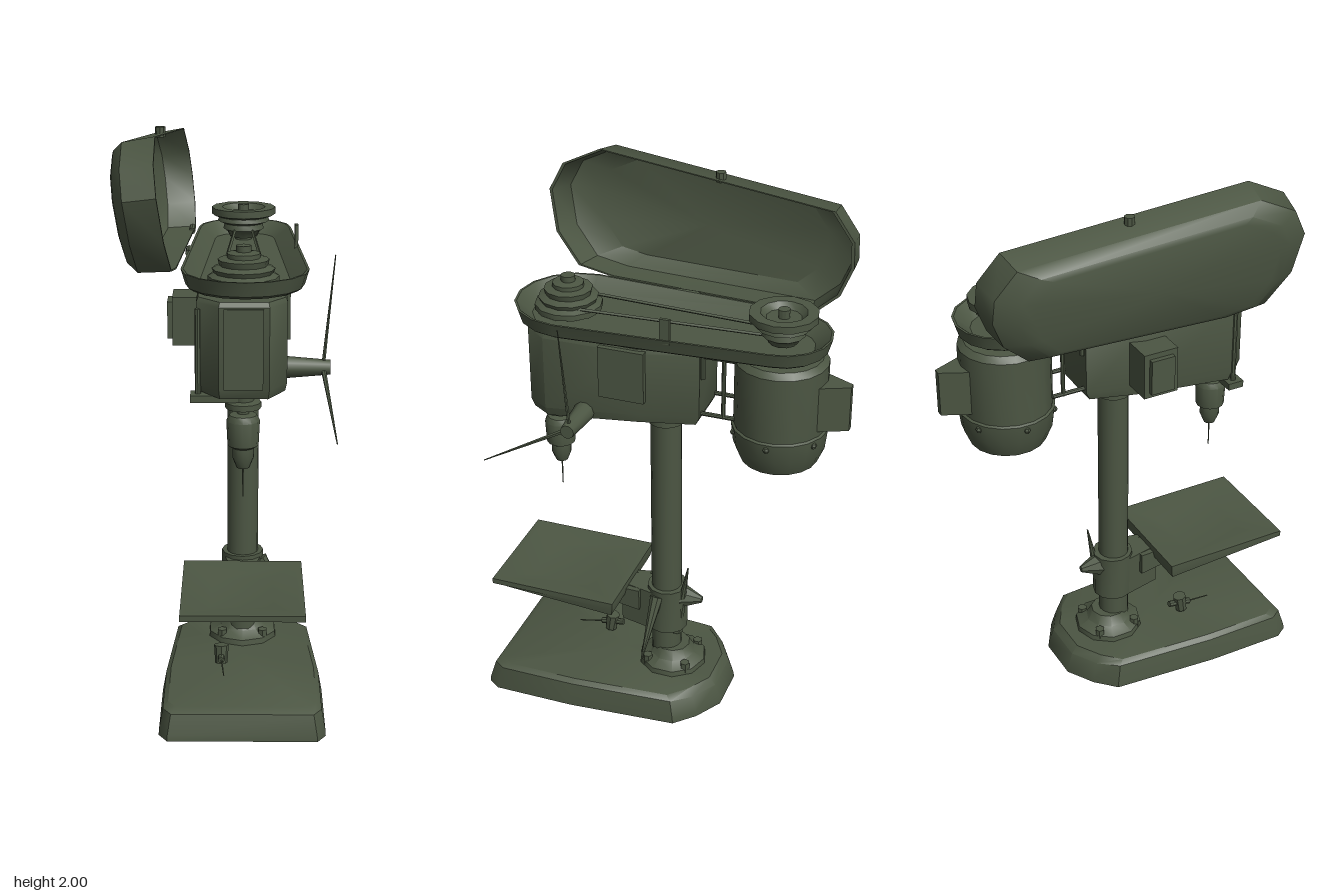
import * as THREE from 'three';
import { toCreasedNormals } from 'three/addons/utils/BufferGeometryUtils.js';

const paint = new THREE.MeshStandardMaterial({ color: 0x4c5643, side: THREE.DoubleSide });
paint.name = 'oliveGreenPaint';

const CX = 0.055; // shared centre line of column, head and pulleys

function add(parent, name, geo, x = 0, y = 0, z = 0) {
  const m = new THREE.Mesh(toCreasedNormals(geo, 0.65), paint);
  m.name = name;
  m.position.set(x, y, z);
  parent.add(m);
  return m;
}

// Skin through equal-length loops of [x, y, z], with fan caps at both ends
function loft(loops) {
  const pos = [], n = loops[0].length;
  const tri = (...p) => p.forEach(v => pos.push(...v));
  const mid = l => [0, 1, 2].map(k => l.reduce((s, p) => s + p[k], 0) / n);
  const first = loops[0], last = loops[loops.length - 1];
  for (let j = 0; j < n; j++) {
    const k = (j + 1) % n;
    for (let i = 0; i + 1 < loops.length; i++) {
      const a = loops[i], b = loops[i + 1];
      tri(a[j], a[k], b[k]);
      tri(a[j], b[k], b[j]);
    }
    tri(mid(first), first[k], first[j]);
    tri(mid(last), last[j], last[k]);
  }
  const g = new THREE.BufferGeometry();
  g.setAttribute('position', new THREE.Float32BufferAttribute(pos, 3));
  g.computeVertexNormals();
  return g;
}

// Flat [x, z] outline placed at height y, scaled about (cx, cz)
const level = (outline, y, s = 1, cx = CX, cz = 0.2) =>
  outline.map(([x, z]) => [cx + (x - cx) * s, typeof y === 'function' ? y(z) : y, cz + (z - cz) * s]);

const lathe = (pts, seg) => new THREE.LatheGeometry(pts.map(p => new THREE.Vector2(...p)), seg);

// Round bar or taper from a to b
function rod(parent, name, a, b, r0, r1 = r0, seg = 8) {
  const A = new THREE.Vector3(...a), B = new THREE.Vector3(...b);
  const d = B.clone().sub(A);
  const m = add(parent, name, new THREE.CylinderGeometry(r1, r0, d.length(), seg));
  m.position.copy(A).add(B).multiplyScalar(0.5);
  m.quaternion.setFromUnitVectors(new THREE.Vector3(0, 1, 0), d.normalize());
  return m;
}

const box = (parent, name, w, h, d, x, y, z) => add(parent, name, new THREE.BoxGeometry(w, h, d), x, y, z);

function makeBase() {
  const g = new THREE.Group();
  g.name = 'base';
  const plan = [[-0.23, 0.6], [-0.2, 0.645], [0.31, 0.645], [0.34, 0.6], [0.34, 0.3], [0.31, -0.1],
    [0.24, -0.17], [0.14, -0.23], [-0.03, -0.23], [-0.13, -0.17], [-0.2, -0.1], [-0.23, 0.3]];
  add(g, 'basePlate', loft([level(plan, 0.07, 0.8), level(plan, 0, 0.99), level(plan, 0), level(plan, 0.02, 0.995),
    level(plan, z => z < -0.12 ? 0.08 : 0.09, 0.95), level(plan, 0.105, 0.89)]));
  rod(g, 'undersideBoss', [CX, 0.06, 0.01], [CX, 0.08, 0.01], 0.1, 0.1, 14);
  // Column foot with bolts
  add(g, 'columnFlange', lathe([[0, 0.09], [0.13, 0.09], [0.125, 0.125], [0.085, 0.145], [0.065, 0.18], [0, 0.18]], 10), CX, 0, -0.01);
  for (let i = 0; i < 4; i++) {
    const a = Math.PI / 4 + i * Math.PI / 2;
    add(g, 'flangeBolt', new THREE.CylinderGeometry(0.018, 0.018, 0.04, 6), CX + 0.105 * Math.cos(a), 0.13, -0.01 + 0.105 * Math.sin(a));
  }
  // Loose clamp knob
  rod(g, 'clampKnob', [-0.02, 0.14, 0.31], [-0.02, 0.155, 0.22], 0.012);
  rod(g, 'clampKnobHead', [-0.02, 0.115, 0.275], [-0.02, 0.18, 0.265], 0.022, 0.026);
  rod(g, 'clampKnobLever', [-0.02, 0.14, 0.3], [-0.01, 0.125, 0.4], 0.003, 0.002);
  rod(g, 'column', [CX, 0.1, 0.014], [CX, 1.2, 0.014], 0.056, 0.056, 16);
  return g;
}

function makeTable() {
  const g = new THREE.Group();
  g.name = 'workTable';
  const plan = [[-0.155, 0.63], [0.265, 0.63], [0.265, 0.15], [-0.155, 0.15]];
  const lv = (y, s) => level(plan, y, s, CX, 0.39);
  const under = z => 0.4 + 0.065 * (z - 0.15);
  add(g, 'tableTop', loft([lv(0.428, 0.4), lv(z => under(z) + 0.006, 0.88), lv(under, 0.97), lv(0.434, 1), lv(0.455, 1),
    lv(0.455, 0.9), lv(0.434, 0.5)]));
  // Arm and column clamp
  const arm = [[0.02, 0.42], [0.09, 0.42], [0.125, 0.1], [-0.015, 0.1]];
  add(g, 'tableArm', loft([level(arm, z => z > 0.3 ? 0.365 : 0.345), level(arm, z => z > 0.3 ? 0.405 : 0.43)]));
  rod(g, 'tableCollar', [CX, 0.265, 0.01], [CX, 0.445, 0.01], 0.075, 0.075, 12);
  const boss = [[0.02, 0.18], [0.09, 0.18], [0.125, 0.02], [-0.015, 0.02]];
  add(g, 'tableBoss', loft([level(boss, 0.265), level(boss, 0.43)]));
  rod(g, 'clampScrew', [CX, 0.4, -0.05], [CX, 0.4, -0.125], 0.045, 0.012);
  rod(g, 'clampLever', [CX + 0.02, 0.25, -0.03], [CX + 0.03, 0.55, -0.08], 0.025, 0.003);
  rod(g, 'tableCrank', [0.12, 0.42, 0.03], [0.24, 0.2, 0.05], 0.025, 0.002);
  return g;
}

function makeHead() {
  const g = new THREE.Group();
  g.name = 'drillHead';
  const plan = [[-0.1, 0.41], [-0.025, 0.49], [0.14, 0.49], [0.2, 0.41], [0.2, 0.06], [0.15, -0.14], [-0.04, -0.14], [-0.1, 0.06]];
  const under = z => z > 0.1 ? 1.2 - 0.04 * (z - 0.06) / 0.43 : 1.205;
  add(g, 'headHousing', loft([level(plan, under, 0.96), level(plan, z => under(z) + 0.03), level(plan, 1.47), level(plan, 1.485, 0.96)]));
  rod(g, 'columnCollar', [CX, 1.15, 0.014], [CX, 1.22, 0.014], 0.066, 0.066, 14);
  box(g, 'frontPanel', 0.13, 0.27, 0.008, CX, 1.33, 0.492);
  box(g, 'sidePanel', 0.03, 0.19, 0.165, 0.2, 1.385, 0.12);
  box(g, 'switchBox', 0.12, 0.17, 0.13, -0.13, 1.335, 0.07);
  box(g, 'switchPlate', 0.02, 0.13, 0.09, -0.198, 1.335, 0.07);
  for (const z of [-0.1, 0.28]) for (const x of [-0.02, 0.13]) rod(g, 'trayPost', [x, 1.47, z], [x, 1.52, z], 0.01);
  // Depth stop
  rod(g, 'depthStopRod', [-0.095, 1.14, 0.42], [-0.095, 1.45, 0.42], 0.01);
  box(g, 'depthStopBracket', 0.17, 0.025, 0.06, -0.035, 1.15, 0.42);
  // Spindle, chuck and bit
  add(g, 'chuck', lathe([[0, 0.905], [0.022, 0.905], [0.036, 0.94], [0.036, 0.975], [0.052, 0.985], [0.056, 1.07],
    [0.046, 1.09], [0.02, 1.095], [0.02, 1.11], [0.06, 1.115], [0.06, 1.135], [0.035, 1.14], [0.035, 1.2]], 12), CX, 0, 0.42);
  rod(g, 'drillBit', [CX, 0.91, 0.42], [CX, 0.8, 0.42], 0.003, 0.002, 5);
  // Feed hub with spokes
  rod(g, 'feedHub', [0.17, 1.21, 0.265], [0.35, 1.21, 0.265], 0.04, 0.025, 10);
  rod(g, 'feedSpoke', [0.325, 1.21, 0.265], [0.36, 1.6, 0.28], 0.007, 0.002, 6);
  rod(g, 'feedSpoke', [0.325, 1.21, 0.265], [0.36, 1.04, 0.58], 0.009, 0.002, 6);
  return g;
}

function makeMotor() {
  const g = new THREE.Group();
  g.name = 'motor';
  add(g, 'motorBody', lathe([[0, 1.09], [0.135, 1.09], [0.16, 1.15], [0.168, 1.22], [0.16, 1.225], [0.16, 1.465],
    [0.14, 1.485], [0.03, 1.49], [0.03, 1.6]], 18), CX, 0, -0.4);
  // Tapered cover on the back
  const wedge = [[0.0, -0.54], [0.12, -0.54], [0.075, -0.645], [0.05, -0.645]];
  add(g, 'terminalCover', loft([level(wedge, 1.245), level(wedge, 1.41)]));
  for (let i = 0; i < 6; i++) {
    const a = i * Math.PI / 3;
    add(g, 'motorBolt', new THREE.SphereGeometry(0.012, 6, 4), CX + 0.163 * Math.cos(a), 1.2, -0.4 + 0.163 * Math.sin(a));
  }
  // Sliding mount loops between head and motor
  for (const x of [-0.02, 0.13]) {
    for (const y of [1.245, 1.465]) rod(g, 'mountBar', [x, y, -0.12], [x, y, -0.26], 0.008);
    rod(g, 'mountUpright', [x, 1.24, -0.22], [x, 1.47, -0.22], 0.008);
    rod(g, 'mountUpright', [x, 1.38, -0.145], [x, 1.485, -0.145], 0.01);
  }
  return g;
}

function makeBeltDrive() {
  const g = new THREE.Group();
  g.name = 'beltDrive';
  // Rounded tray, wider at the front
  const tray = (y, inset) => {
    const pts = [];
    for (const [cz, r, start] of [[0.34, 0.212, 0], [-0.4, 0.17, Math.PI]])
      for (let i = 0; i <= 8; i++) {
        const a = start + i * Math.PI / 8;
        pts.push([0.06 - (r - inset) * Math.cos(a), y, cz + (r - inset) * Math.sin(a)]);
      }
    return pts;
  };
  add(g, 'beltTray', loft([tray(1.505, 0.03), tray(1.515, 0.015), tray(1.565, 0), tray(1.565, 0.008), tray(1.52, 0.06)]));
  const steps = [[0.118, 1.53], [0.118, 1.55], [0.098, 1.56], [0.105, 1.575], [0.08, 1.585], [0.085, 1.605],
    [0.055, 1.61], [0.055, 1.625], [0.025, 1.63], [0.025, 1.65], [0, 1.65]];
  add(g, 'spindlePulley', lathe([[0, 1.53], ...steps], 12), CX, 0, 0.37);
  add(g, 'motorPulley', lathe([[0, 1.53], [0.05, 1.53], [0.06, 1.55], [0.075, 1.56], [0.07, 1.58], [0.095, 1.59],
    [0.09, 1.605], [0.118, 1.615], [0.118, 1.64], [0.08, 1.64], [0.06, 1.62], [0.02, 1.62], [0.02, 1.65], [0, 1.65]], 12), CX, 0, -0.4);
  for (const s of [-1, 1]) rod(g, 'belt', [CX + s * 0.03, 1.56, -0.4], [CX + s * 0.07, 1.56, 0.37], 0.006, 0.006, 4);
  box(g, 'latchPeg', 0.012, 0.09, 0.035, 0.24, 1.595, -0.05);
  return g;
}

function makeLid() {
  const g = new THREE.Group();
  g.name = 'openLid';
  // Rim outline as [along z, up the lid]; the lid leans left and swings out at the front
  const rim = [[0.36, 0.45], [0.5, 0.38], [0.55, 0.28], [0.52, 0.13], [0.43, 0.02], [0.3, 0],
    [-0.45, 0], [-0.54, 0.08], [-0.58, 0.18], [-0.575, 0.27], [-0.5, 0.365]];
  const ring = (h, s) => rim.map(([along, up]) => {
    const u = 0.22 + (up - 0.22) * s, z = along * s;
    return [-0.12 - 0.13 * u - 0.06 * (z + 0.5) + h, 1.555 + 0.99 * u + 0.13 * h, z + 0.06 * h];
  });
  add(g, 'lidShell', loft([ring(-0.158, 0.76), ring(-0.148, 0.84), ring(-0.11, 0.97), ring(0, 1),
    ring(0, 0.98), ring(-0.1, 0.94), ring(-0.142, 0.76)]));
  rod(g, 'lidKnob', [-0.235, 1.94, -0.08], [-0.235, 1.975, -0.08], 0.018);
  for (const z of [-0.4, 0]) rod(g, 'lidHinge', [-0.135, 1.555, z - 0.04], [-0.135, 1.555, z + 0.04], 0.012);
  return g;
}

export function createModel() {
  const model = new THREE.Group();
  model.name = 'drillPress';
  model.add(makeBase(), makeTable(), makeHead(), makeMotor(), makeBeltDrive(), makeLid());
  return model;
}
